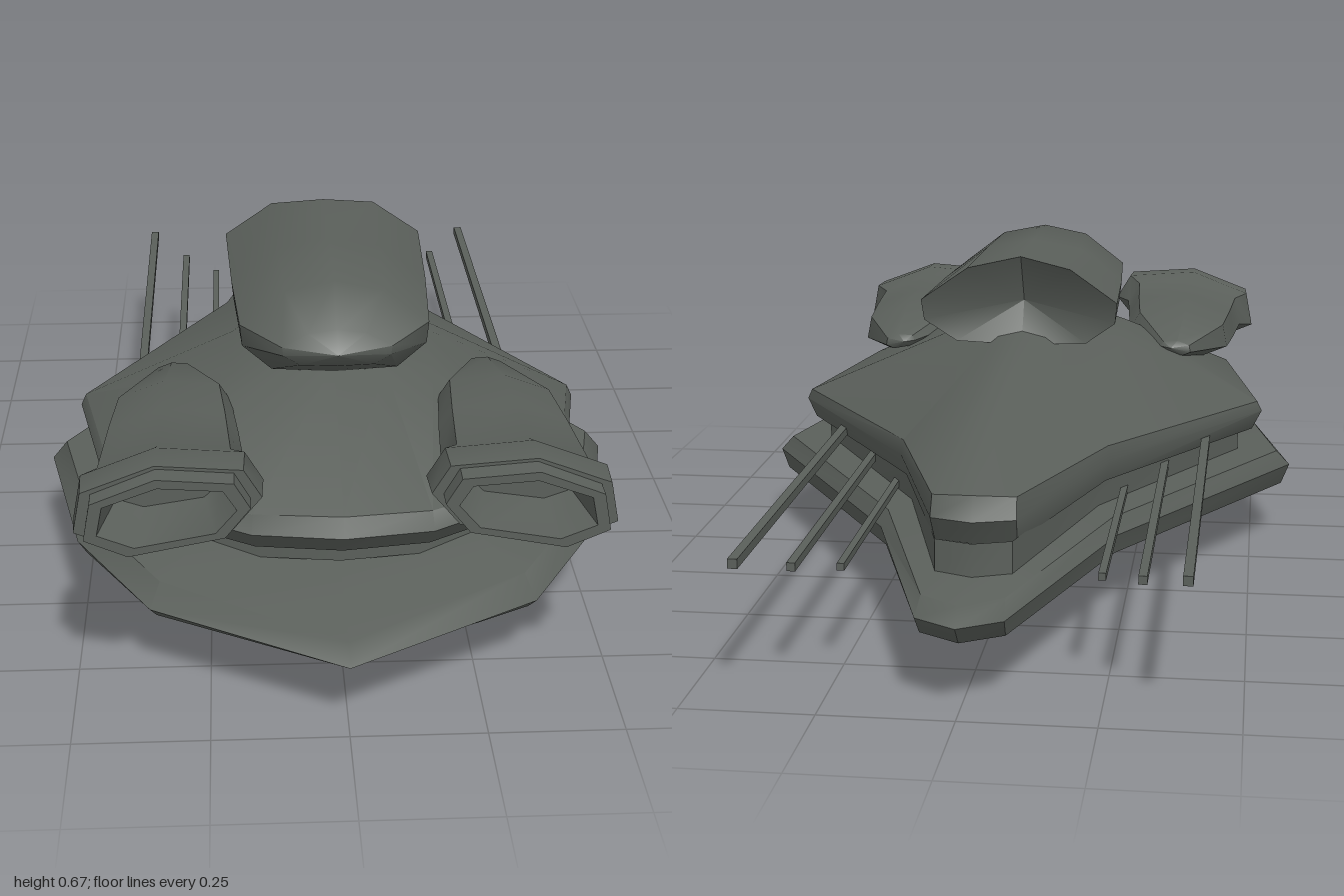
import * as THREE from 'three';
import { toCreasedNormals } from 'three/addons/utils/BufferGeometryUtils.js';

const hullGrey = new THREE.MeshStandardMaterial({ color: 0x5a5f5a });
hullGrey.name = 'hullGrey';

// Skin over rings (clockwise seen from the first ring's side), closed by fans to two centre points.
function loft(name, rings, startCap, endCap, crease = 0.7) {
  const pos = [];
  const tri = (a, b, c) => pos.push(...a, ...b, ...c);
  const n = rings[0].length;
  const last = rings[rings.length - 1];
  for (let i = 0; i < n; i++) {
    const k = (i + 1) % n;
    if (startCap) tri(startCap, rings[0][k], rings[0][i]);
    for (let j = 0; j < rings.length - 1; j++) {
      const a = rings[j], b = rings[j + 1];
      tri(a[i], a[k], b[k]);
      tri(a[i], b[k], b[i]);
    }
    if (endCap) tri(endCap, last[i], last[k]);
  }
  const geo = new THREE.BufferGeometry();
  geo.setAttribute('position', new THREE.Float32BufferAttribute(pos, 3));
  const mesh = new THREE.Mesh(toCreasedNormals(geo, crease), hullGrey);
  mesh.name = name;
  return mesh;
}

// Completes a half ring whose first and last points lie on x = 0.
const mirrorRing = (half) => [
  ...half,
  ...half.slice(1, -1).reverse().map(([x, y, z]) => [-x, y, z]),
];

// Half ring from a plan outline, with inset scales and a height per point.
const layer = (outline, sx, sz, ys) =>
  mirrorRing(outline.map(([x, z], i) => [x * sx, Array.isArray(ys) ? ys[i] : ys, z * sz]));

function lowerHull() {
  const plan = [[0, -1], [0.08, -0.95], [0.24, -0.42], [0.585, 0.17], [0.51, 0.54], [0.36, 0.8], [0, 1]];
  const keel = [[0, 0, 0], [0.02, 0.007, 0], [0.08, 0.03, 0.02], [0.18, 0.065, 0.17],
    [0.17, 0.06, 0.35], [0.1, 0.035, 0.4], [0, 0, 0.4]];
  return loft('lowerHull', [
    layer(plan, 0.95, 0.95, [0.195, 0.197, 0.2, 0.2, 0.198, 0.192, 0.165]),
    layer(plan, 1, 1, [0.17, 0.17, 0.17, 0.167, 0.162, 0.155, 0.142]),
    layer(plan, 0.97, 0.96, [0.13, 0.13, 0.127, 0.125, 0.125, 0.125, 0.125]),
    mirrorRing(keel),
    mirrorRing(keel.map(([, , z]) => [0, 0, z])),
  ], [0, 0.203, 0]);
}

const upperPlan = [[0, -0.795], [0.08, -0.77], [0.215, -0.32], [0.52, 0.17], [0.44, 0.6], [0.17, 0.77], [0, 0.795]];

function upperHull() {
  const roof = [[0, 0.5, 0], [0.05, 0.492, 0], [0.1, 0.475, 0.05], [0.2, 0.45, 0.17],
    [0.2, 0.45, 0.38], [0.1, 0.475, 0.42], [0, 0.485, 0.42]];
  return loft('upperHull', [
    mirrorRing(roof),
    layer(upperPlan, 0.98, 0.98, [0.347, 0.34, 0.325, 0.312, 0.315, 0.325, 0.328]),
    layer(upperPlan, 1, 1, [0.3, 0.3, 0.295, 0.29, 0.29, 0.29, 0.29]),
    layer(upperPlan, 0.96, 0.96, 0.25),
  ], [0, 0.5, 0.2], [0, 0.245, 0]);
}

// Recessed band joining the two hulls
function neck() {
  const plan = upperPlan.map(([x, z]) => [x * 0.9, z > 0.2 ? z * 0.86 : z]);
  return loft('neck', [layer(plan, 1, 1, 0.26), layer(plan, 1, 1, 0.185)]);
}

// Raised pod with a hollow, overhanging back
function topPod() {
  const half = [[0, 0.665], [0.11, 0.645], [0.21, 0.575], [0.205, 0.53], [0.14, 0.478], [0, 0.47]];
  const section = (sx, sy, z) =>
    mirrorRing(half.map(([x, y], i) => [x * sx, 0.565 + (y - 0.565) * sy, Array.isArray(z) ? z[i] : z]));
  return loft('topPod', [
    section(0.5, 0.38, 0.545),
    section(0.88, 0.97, 0.44),
    section(0.95, 1, 0.2),
    section(1, 1, [-0.045, -0.082, -0.085, -0.075, -0.04, -0.03]),
  ], [0, 0.565, 0.58], [0, 0.56, 0.02]);
}

// Engine with a hollow nozzle, collar and tapering body
function engine(side) {
  const section = [[0.18, 0.48], [0.34, 0.492], [0.475, 0.44], [0.49, 0.36], [0.4, 0.322], [0.2, 0.36], [0.147, 0.425]];
  const steps = [ // z, width scale, height scale
    [0.8, 0.55, 0.45], [0.92, 0.72, 0.68], [0.92, 0.86, 0.88], [0.88, 0.86, 0.9], [0.88, 0.98, 0.97],
    [0.81, 1, 1], [0.77, 0.82, 0.82], [0.6, 0.75, 0.75], [0.45, 0.67, 0.65], [0.27, 0.2, 0.2],
  ];
  const rings = steps.map(([z, sx, sy]) => {
    const ring = section.map(([x, y]) => [side * (0.32 + (x - 0.32) * sx), 0.408 + (y - 0.408) * sy, z]);
    return side > 0 ? ring : ring.reverse();
  });
  return loft(side > 0 ? 'leftEngine' : 'rightEngine', rings,
    [side * 0.32, 0.408, 0.8], [side * 0.31, 0.41, 0.255]);
}

export function createModel() {
  const group = new THREE.Group();
  group.name = 'spaceship';
  group.add(lowerHull(), neck(), upperHull(), topPod());
  // Paired engines and long thin rods
  const rods = [[0.4, 0.262, -0.965, 0.018], [0.317, 0.23, -0.875, 0.016], [0.24, 0.212, -0.81, 0.014]];
  for (const side of [1, -1]) {
    group.add(engine(side));
    for (const [x, y, tip, size] of rods) {
      const length = 0.05 - tip;
      const rod = new THREE.Mesh(new THREE.BoxGeometry(size, size, length), hullGrey);
      rod.position.set(side * x, y, tip + length / 2);
      rod.name = side > 0 ? 'leftRod' : 'rightRod';
      group.add(rod);
    }
  }
  return group;
}
